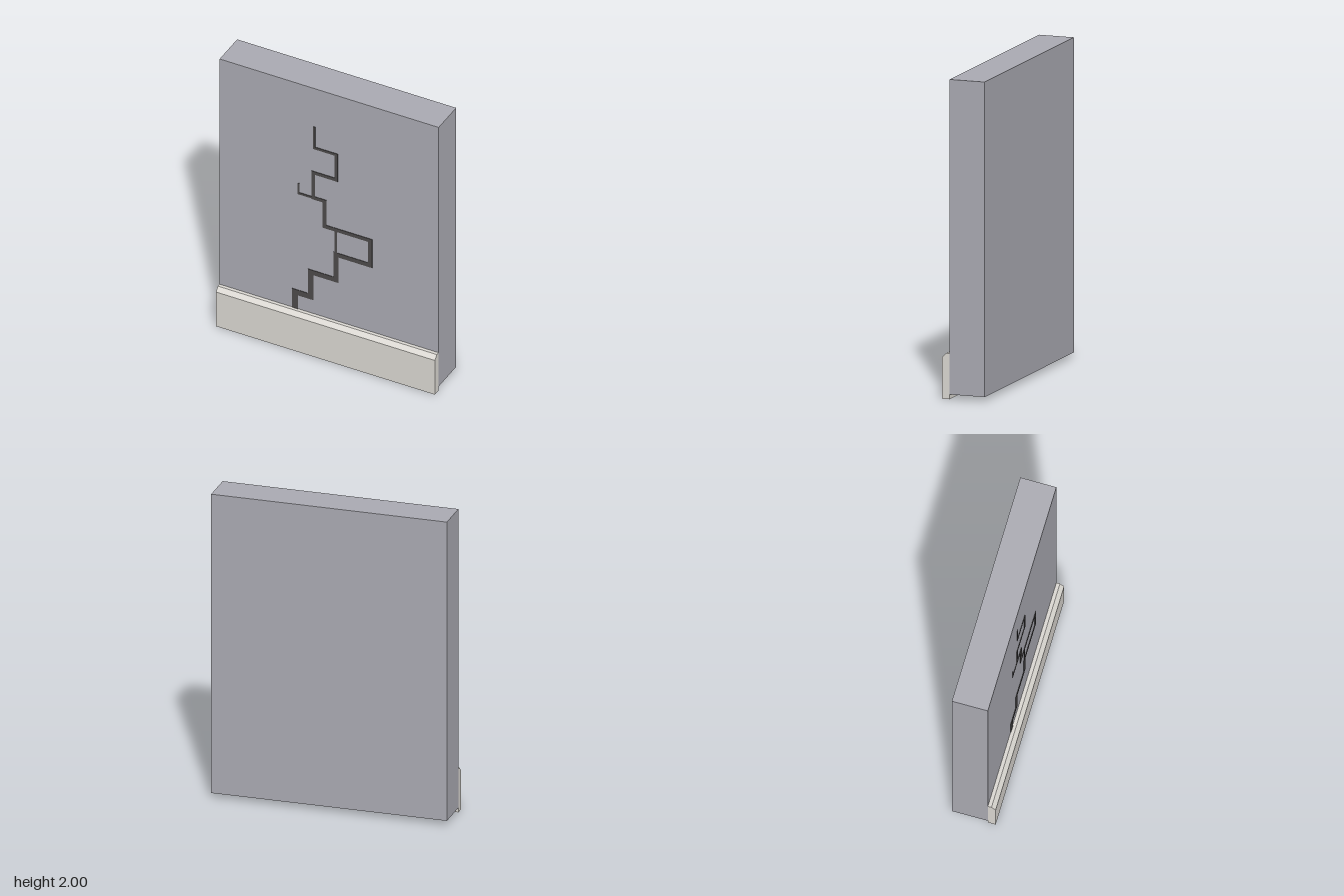
import * as THREE from 'three';

const HALF_WIDTH = 0.76;
const WALL_FRONT = 0.09;

// Crack strips as [left, bottom, right, top], from the floor upward
const CRACK = [
  [-0.128, 0.02, -0.083, 0.24],
  [-0.257, 0.195, -0.083, 0.24],
  [-0.257, 0.195, -0.215, 0.43],
  [-0.215, 0.39, -0.108, 0.43],
  [-0.146, 0.43, -0.108, 0.615],
  [-0.108, 0.58, 0.066, 0.615],
  [0.032, 0.615, 0.066, 0.805],
  [0.066, 0.774, 0.3, 0.805],
  [0.273, 0.805, 0.3, 0.99],
  [-0.045, 0.964, 0.273, 0.99],
  [-0.045, 0.99, -0.018, 1.18],
  [-0.12, 1.156, -0.045, 1.18],
  [-0.12, 1.18, -0.098, 1.37],
  [-0.098, 1.347, 0.061, 1.37],
  [0.04, 1.37, 0.061, 1.558],
  [-0.112, 1.54, 0.04, 1.558],
  [-0.112, 1.558, -0.096, 1.71],
  // thin side branches
  [0.038, 0.805, 0.056, 0.964],
  [-0.217, 1.16, -0.12, 1.175],
  [-0.217, 1.175, -0.205, 1.245],
];

export function createModel() {
  const model = new THREE.Group();
  const wallMat = new THREE.MeshStandardMaterial({ color: 0xa9a9b1, side: THREE.DoubleSide });
  const boardMat = new THREE.MeshStandardMaterial({ color: 0xd9d6d0 });
  const crackMat = new THREE.MeshStandardMaterial({ color: 0x4c4a4a });

  // Wall panel: a box left open underneath (face 3 of the box is its bottom)
  const wallGeo = new THREE.BoxGeometry(HALF_WIDTH * 2, 1.97, 0.23);
  const index = Array.from(wallGeo.index.array);
  index.splice(18, 6);
  wallGeo.setIndex(index);
  wallGeo.clearGroups();
  const wall = new THREE.Mesh(wallGeo, wallMat);
  wall.name = 'wallPanel';
  wall.position.set(0, 1.015, WALL_FRONT - 0.115);
  model.add(wall);

  // Baseboard: side profile with a bevelled top edge, run along x
  const profile = new THREE.Shape([
    [-0.14, 0], [-0.09, 0], [-0.09, 0.287], [-0.113, 0.287], [-0.14, 0.26],
  ].map(([x, y]) => new THREE.Vector2(x, y)));
  const boardGeo = new THREE.ExtrudeGeometry(profile, { depth: HALF_WIDTH * 2, bevelEnabled: false });
  boardGeo.translate(0, 0, -HALF_WIDTH).rotateY(Math.PI / 2);
  const baseboard = new THREE.Mesh(boardGeo, boardMat);
  baseboard.name = 'baseboard';
  model.add(baseboard);

  // Stepped crack lying just proud of the wall face
  const crack = new THREE.Group();
  crack.name = 'crack';
  const depth = 0.003;
  CRACK.forEach(([x0, y0, x1, y1], i) => {
    const strip = new THREE.Mesh(new THREE.BoxGeometry(x1 - x0, y1 - y0, depth), crackMat);
    strip.name = `crackStrip${i + 1}`;
    strip.position.set((x0 + x1) / 2, (y0 + y1) / 2, WALL_FRONT + depth / 2);
    crack.add(strip);
  });
  model.add(crack);

  return model;
}
